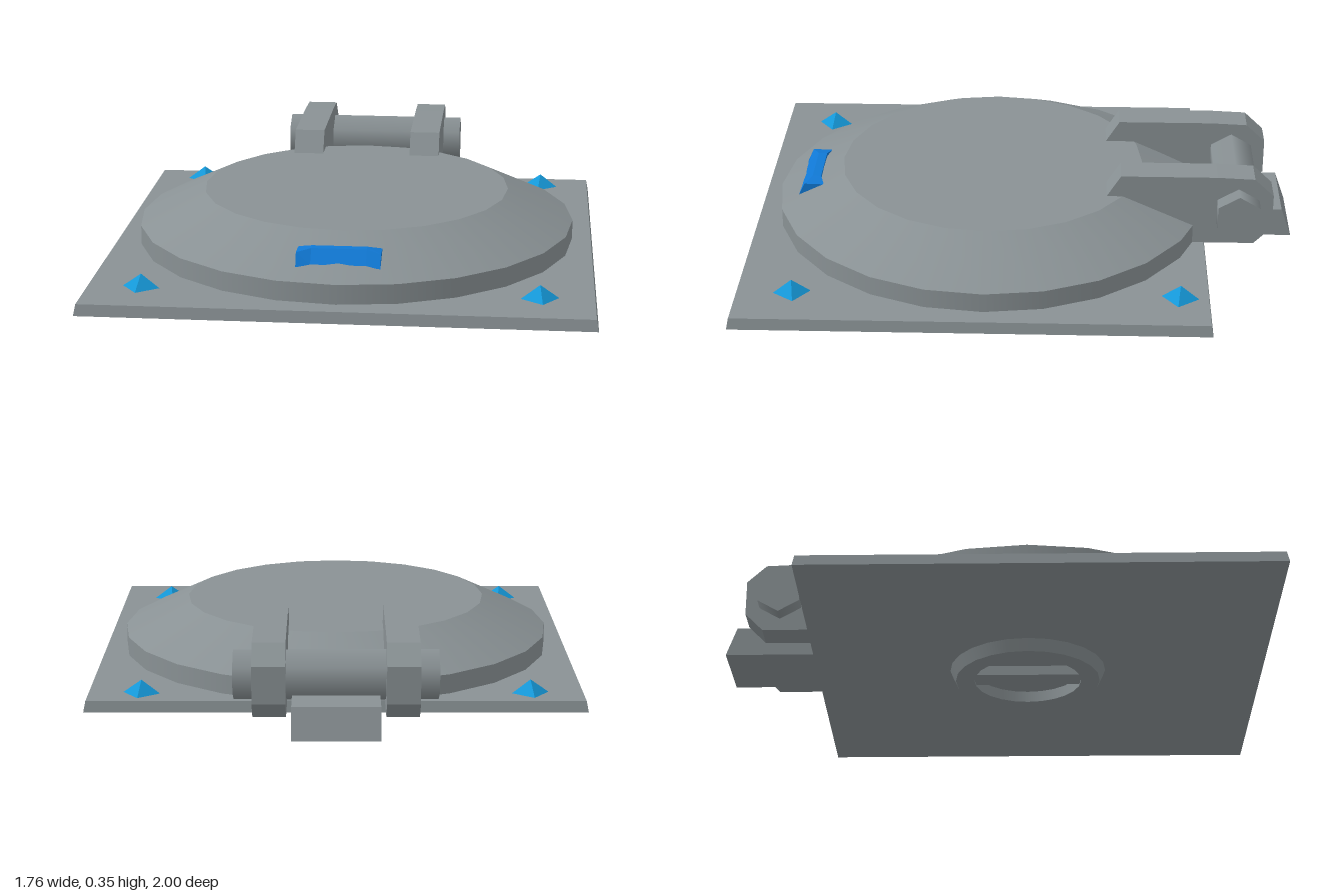
import * as THREE from 'three';

const mat = (name, color, opts = {}) => {
  const m = new THREE.MeshStandardMaterial({ color, ...opts });
  m.name = name;
  return m;
};

// Closed loft through quad cross-sections (each a list of [x, y, z] corners)
function loft(sections) {
  const pos = [];
  const quad = (a, b, c, d) => pos.push(...a, ...b, ...c, ...a, ...c, ...d);
  for (let i = 0; i < sections.length - 1; i++) {
    const s = sections[i], t = sections[i + 1];
    for (let k = 0; k < s.length; k++) {
      const n = (k + 1) % s.length;
      quad(s[k], s[n], t[n], t[k]);
    }
  }
  const f = sections[0], l = sections[sections.length - 1];
  quad(f[3], f[2], f[1], f[0]);
  quad(l[0], l[1], l[2], l[3]);
  const g = new THREE.BufferGeometry();
  g.setAttribute('position', new THREE.Float32BufferAttribute(pos, 3));
  g.computeVertexNormals();
  return g;
}

export function createModel() {
  const group = new THREE.Group();
  group.name = 'hatch';
  const metal = mat('grey metal', 0x899194);
  const metalOpen = mat('grey metal', 0x899194, { side: THREE.DoubleSide });
  const boltBlue = mat('light blue', 0x1598d8);
  const handleBlue = mat('blue', 0x1078d4);
  const CZ = 0.118; // centre of the round lid

  const add = (name, geo, material, x = 0, y = 0, z = 0, parent = group) => {
    const m = new THREE.Mesh(geo, material);
    m.name = name;
    m.position.set(x, y, z);
    parent.add(m);
    return m;
  };

  // Square base plate, slightly bevelled toward the top
  const rect = (x, z0, z1, y) => [[-x, y, z1], [x, y, z1], [x, y, z0], [-x, y, z0]];
  add('basePlate', loft([rect(0.88, -0.675, 1, 0.045), rect(0.872, -0.668, 0.992, 0.085)]), metal);

  // Round lid: each band is its own lathe, so the rims stay sharp
  const band = (name, pts) =>
    add(name, new THREE.LatheGeometry(pts.map(([r, y]) => new THREE.Vector2(r, y)), 24), metalOpen, 0, 0, CZ);
  band('lidWall', [[0.803, 0.08], [0.803, 0.155]]);
  band('lidSlope', [[0.803, 0.155], [0.562, 0.271]]);
  band('lidTop', [[0.562, 0.271], [0, 0.271]]);

  // Underside: shallow swell, hand-wheel ring and its crossbar
  band('undersideSwell', [[0, 0.041], [0.69, 0.0445]]);
  band('ringOuter', [[0.27, 0], [0.292, 0.045]]);
  band('ringFace', [[0.2, 0], [0.27, 0]]);
  band('ringInner', [[0.2, 0.045], [0.2, 0]]);
  add('ringBar', new THREE.BoxGeometry(0.09, 0.04, 0.4), metal, 0, 0.025, CZ);

  // Hinge tongue with a sloped back end
  add('hingeTongue', loft([rect(0.15, -1, -0.62, 0.047), rect(0.15, -0.962, -0.62, 0.155)]), metal);

  // Hinge arms: side profile in (z, y), extruded across x
  const profile = [[-0.305, 0.265], [-0.36, 0.352], [-0.71, 0.352], [-0.845, 0.346], [-0.915, 0.28],
    [-0.915, 0.15], [-0.85, 0.085], [-0.6, 0.085]];
  const shape = new THREE.Shape(profile.map(([z, y]) => new THREE.Vector2(-z, y)));
  const armGeo = new THREE.ExtrudeGeometry(shape, { depth: 0.114, bevelEnabled: false });
  armGeo.rotateY(Math.PI / 2); // shape x becomes -z, depth becomes +x
  add('hingeArmLeft', armGeo, metal, 0.17, 0, 0);
  add('hingeArmRight', armGeo, metal, -0.284, 0, 0);

  // Six-sided hinge pin, points up and down
  const pinGeo = new THREE.CylinderGeometry(0.088, 0.088, 0.7, 6);
  pinGeo.rotateY(Math.PI / 2);
  pinGeo.rotateZ(Math.PI / 2);
  add('hingePin', pinGeo, metal, 0, 0.218, -0.788);

  // Blue grip on the front slope, pinched in the middle
  const end = (x) => [[x, 0.185, 0.838], [x, 0.232, 0.815], [x, 0.23, 0.742], [x, 0.175, 0.742]];
  const mid = (x) => [[x, 0.195, 0.832], [x, 0.24, 0.79], [x, 0.24, 0.758], [x, 0.19, 0.758]];
  add('grip', loft([end(-0.145), mid(-0.095), mid(0.095), end(0.145)].map((s) => s.slice().reverse())), handleBlue);

  // Four pyramid bolts in the corners
  const boltGeo = new THREE.ConeGeometry(0.066, 0.048, 4).toNonIndexed();
  boltGeo.computeVertexNormals();
  for (const x of [-0.685, 0.685]) {
    for (const z of [-0.568, 0.797]) {
      const bolt = add('cornerBolt', boltGeo, boltBlue, x, 0.109, z);
      bolt.rotation.y = Math.sign(x) * Math.sign(z) * 0.15;
    }
  }

  return group;
}
